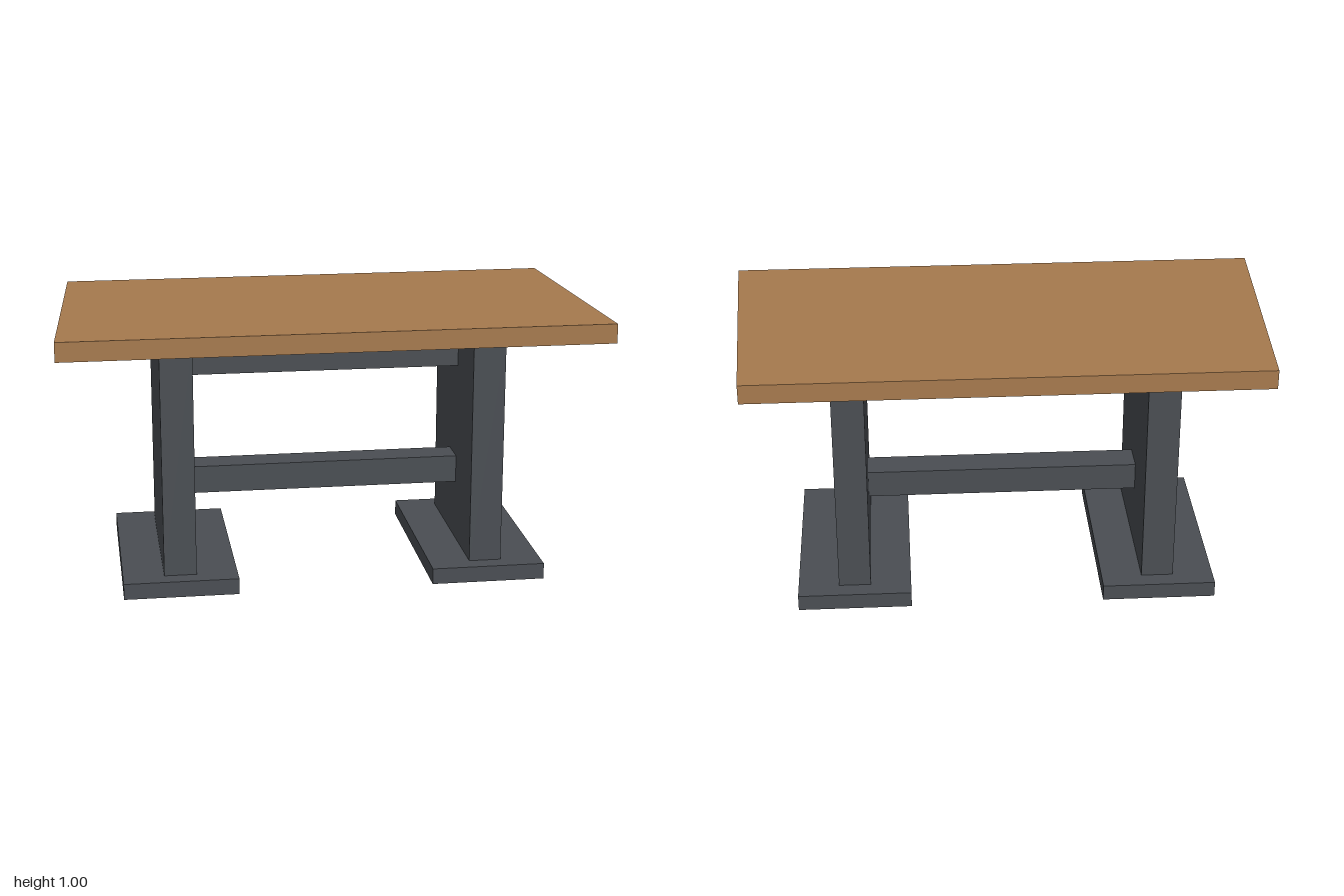
import * as THREE from 'three';

const wood = new THREE.MeshStandardMaterial({ color: 0xa67a4e });
const metal = new THREE.MeshStandardMaterial({ color: 0x4a4e53 });

// Box centred on x and z, spanning y0 to y1
function box(name, width, y0, y1, depth, x = 0) {
  const mesh = new THREE.Mesh(new THREE.BoxGeometry(width, y1 - y0, depth), metal);
  mesh.position.set(x, (y0 + y1) / 2, 0);
  mesh.name = name;
  return mesh;
}

export function createModel() {
  const table = new THREE.Group();
  table.name = 'table';

  // Tabletop: a slab that narrows towards the back
  const outline = new THREE.Shape([
    new THREE.Vector2(-1, -0.5),
    new THREE.Vector2(1, -0.5),
    new THREE.Vector2(0.945, 0.5),
    new THREE.Vector2(-0.945, 0.5),
  ]);
  const slab = new THREE.ExtrudeGeometry(outline, { depth: 0.072, bevelEnabled: false });
  slab.rotateX(-Math.PI / 2);
  const top = new THREE.Mesh(slab, wood);
  top.position.y = 0.928;
  top.name = 'tabletop';
  table.add(top);

  // Panel legs, each on a wide foot
  for (const [side, s] of [['left', 1], ['right', -1]]) {
    table.add(box(side + 'Leg', 0.12, 0.06, 0.928, 0.666, s * 0.574));
    table.add(box(side + 'Foot', 0.424, 0, 0.06, 0.8, s * 0.574));
  }

  // Rails between the legs
  table.add(box('lowerRail', 1.028, 0.286, 0.39, 0.12));
  table.add(box('upperRail', 1.028, 0.75, 0.842, 0.12));

  return table;
}
